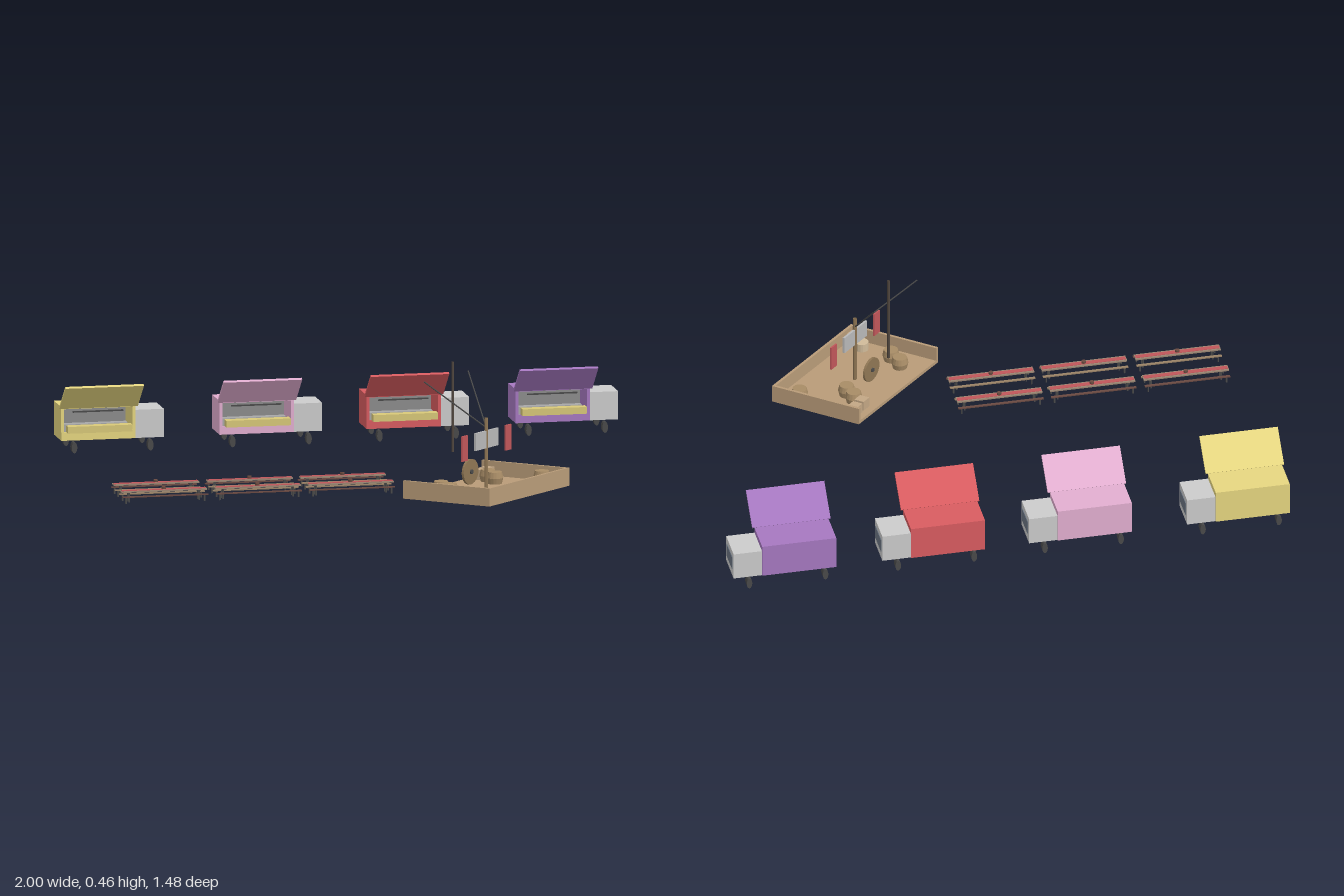
import * as THREE from 'three';

const GREY = 0xcccccc, DARK = 0x4a4a4a, WOOD = 0xb89b78, DEEPWOOD = 0x8f7654, RED = 0xc0565a;
const mat = (color) => new THREE.MeshStandardMaterial({ color, flatShading: true, side: THREE.DoubleSide });

function add(parent, name, geo, color, x = 0, y = 0, z = 0) {
  const mesh = new THREE.Mesh(geo, mat(color));
  mesh.name = name;
  mesh.position.set(x, y, z);
  parent.add(mesh);
  return mesh;
}
const box = (parent, name, color, w, h, d, x, y, z) =>
  add(parent, name, new THREE.BoxGeometry(w, h, d), color, x, y, z);

// Straight rod between two points
function rod(parent, name, color, a, b, r) {
  const path = new THREE.LineCurve3(new THREE.Vector3(...a), new THREE.Vector3(...b));
  return add(parent, name, new THREE.TubeGeometry(path, 1, r, 8), color);
}

// Food truck with an open serving side and a raised awning
function foodTruck(color, x) {
  const t = new THREE.Group();
  t.name = 'foodTruck';
  t.position.set(x, 0, -0.67);
  box(t, 'bodyBack', color, 0.265, 0.12, 0.008, 0, 0.1, -0.061);
  box(t, 'bodyFloor', color, 0.265, 0.008, 0.125, 0, 0.044, 0);
  box(t, 'bodyRoof', color, 0.265, 0.008, 0.125, 0, 0.156, 0);
  for (const s of [-1, 1]) box(t, 'bodySide', color, 0.01, 0.12, 0.125, s * 0.1275, 0.1, 0);
  box(t, 'bodyApron', color, 0.265, 0.03, 0.008, 0, 0.055, 0.059);
  box(t, 'kitchenWall', 0x8c8c8c, 0.24, 0.104, 0.006, 0, 0.1, -0.05);
  box(t, 'kitchenCabinet', 0xa8a8a8, 0.24, 0.035, 0.03, 0, 0.065, -0.03);
  box(t, 'counter', 0xd8c878, 0.23, 0.024, 0.034, 0, 0.083, 0.08);
  box(t, 'utensilRail', DARK, 0.18, 0.005, 0.005, 0, 0.14, 0.055);

  // Awning hinged on the roof edge, sloping up and out
  const awning = box(t, 'awning', color, 0.28, 0.008, 0.138, 0, 0.203, 0.117);
  awning.rotation.x = -0.72;

  // Cab with windscreen
  box(t, 'cab', GREY, 0.102, 0.1, 0.122, 0.183, 0.09, 0);
  box(t, 'windscreen', 0x6a7482, 0.004, 0.048, 0.092, 0.2345, 0.094, 0);

  // Wheels
  const wheel = new THREE.CylinderGeometry(0.02, 0.02, 0.027, 16).rotateX(Math.PI / 2).scale(0.5, 1, 1);
  for (const wx of [-0.092, 0.18])
    for (const wz of [-0.061, 0.083]) add(t, 'wheel', wheel, DARK, wx, 0.02, wz);
  return t;
}

// Long table with a runner, a cup and a bench on each side
function tableSet(x, z, outer) {
  const g = new THREE.Group();
  g.name = 'tableSet';
  g.position.set(x, 0, z);
  box(g, 'tableTop', 0x9a8672, 0.305, 0.005, 0.032, 0, 0.038, 0);
  box(g, 'tableRunner', RED, 0.3, 0.002, 0.018, 0, 0.041, 0);
  add(g, 'cup', new THREE.CylinderGeometry(0.008, 0.008, 0.01, 10), 0x6a4a40, 0, 0.045, 0);
  for (const lx of [-0.125, 0.125])
    for (const lz of [-0.011, 0.011]) box(g, 'tableLeg', DARK, 0.005, 0.036, 0.004, lx, 0.018, lz);
  for (const s of [-1, 1]) {
    box(g, 'bench', s === outer ? 0x6b4a42 : 0x9a8266, 0.305, 0.004, 0.01, 0, 0.023, s * 0.03);
    for (const lx of [-0.14, 0.14]) box(g, 'benchLeg', DARK, 0.005, 0.021, 0.007, lx, 0.0105, s * 0.03);
  }
  return g;
}

// Slightly skewed stage, with walls on three sides
function stage() {
  const g = new THREE.Group();
  g.name = 'stage';
  g.position.set(0.3, 0, 0.465);
  const U = new THREE.Vector3(0.265, 0, 0.21).normalize();
  const V = new THREE.Vector3(-0.355, 0, 0.33).normalize();
  const basis = new THREE.Matrix4().makeBasis(U, new THREE.Vector3(0, 1, 0), V);
  const skew = (name, color, w, h, d, y, u, v) =>
    add(g, name, new THREE.BoxGeometry(w, h, d).translate(u, y, v).applyMatrix4(basis), color);
  const skewAt = (name, color, w, h, d, x, y, z) =>
    add(g, name, new THREE.BoxGeometry(w, h, d).applyMatrix4(basis), color, x - 0.3, y, z - 0.465);

  skew('stageFloor', WOOD, 0.338, 0.012, 0.485, 0.012, 0, 0);
  skew('longWall', WOOD, 0.01, 0.064, 0.485, 0.038, 0.164, 0);
  for (const s of [-1, 1]) skew('endWall', WOOD, 0.338, 0.064, 0.01, 0.038, 0, s * 0.2375);

  // Barrels and crates
  const profile = [[0, 0], [0.025, 0], [0.03, 0.021], [0.025, 0.042], [0, 0.042]];
  const barrel = new THREE.LatheGeometry(profile.map((p) => new THREE.Vector2(...p)), 16);
  for (const [x, z] of [[0.335, 0.325], [0.35, 0.372], [0.515, 0.385], [0.13, 0.507], [0.15, 0.56]])
    add(g, 'barrel', barrel, 0xa88c66, x - 0.3, 0.018, z - 0.465);
  add(g, 'drum', new THREE.CylinderGeometry(0.024, 0.024, 0.03, 16), 0xd0bb9a, -0.065, 0.033, 0.185);
  for (const [x, z] of [[0.347, 0.25], [0.315, 0.283], [0.25, 0.702]])
    skewAt('crate', 0xc2a684, 0.036, 0.036, 0.036, x, 0.036, z);

  // Upright wheel with hub
  const turn = (geo) => geo.rotateZ(Math.PI / 2).applyMatrix4(basis);
  add(g, 'gameWheel', turn(new THREE.CylinderGeometry(0.045, 0.045, 0.008, 24)), DEEPWOOD, -0.05, 0.074, -0.037);
  add(g, 'gameWheelHub', turn(new THREE.CylinderGeometry(0.008, 0.008, 0.018, 10)), DARK, -0.05, 0.074, -0.037);

  // Centre post, hanging sign and side banners
  rod(g, 'centrePost', DEEPWOOD, [0, 0.015, 0], [0, 0.27, 0], 0.007);
  skew('sign', 0xb8b8b8, 0.008, 0.062, 0.138, 0.194, 0, 0);
  for (const s of [-1, 1]) skew('banner', RED, 0.006, 0.09, 0.034, 0.181, 0, s * 0.132);

  // Tall mast and two slanting poles
  rod(g, 'mast', 0x50463e, [-0.104, 0.14, -0.075], [-0.104, 0.46, -0.075], 0.005);
  rod(g, 'slantPole', DARK, [0, 0.235, 0], [-0.22, 0.405, -0.01], 0.0025);
  rod(g, 'slantPole', DARK, [0, 0.235, 0], [-0.027, 0.405, -0.18], 0.0025);
  return g;
}

export function createModel() {
  const model = new THREE.Group();
  model.name = 'foodCourt';
  const trucks = [[0xe6d680, -0.86], [0xe2aed0, -0.295], [0xd85c60, 0.23], [0xa678c0, 0.762]];
  for (const [color, x] of trucks) model.add(foodTruck(color, x));
  for (const x of [-0.83, -0.495, -0.163]) {
    model.add(tableSet(x, 0.225, -1));
    model.add(tableSet(x, 0.36, 1));
  }
  model.add(stage());
  return model;
}
